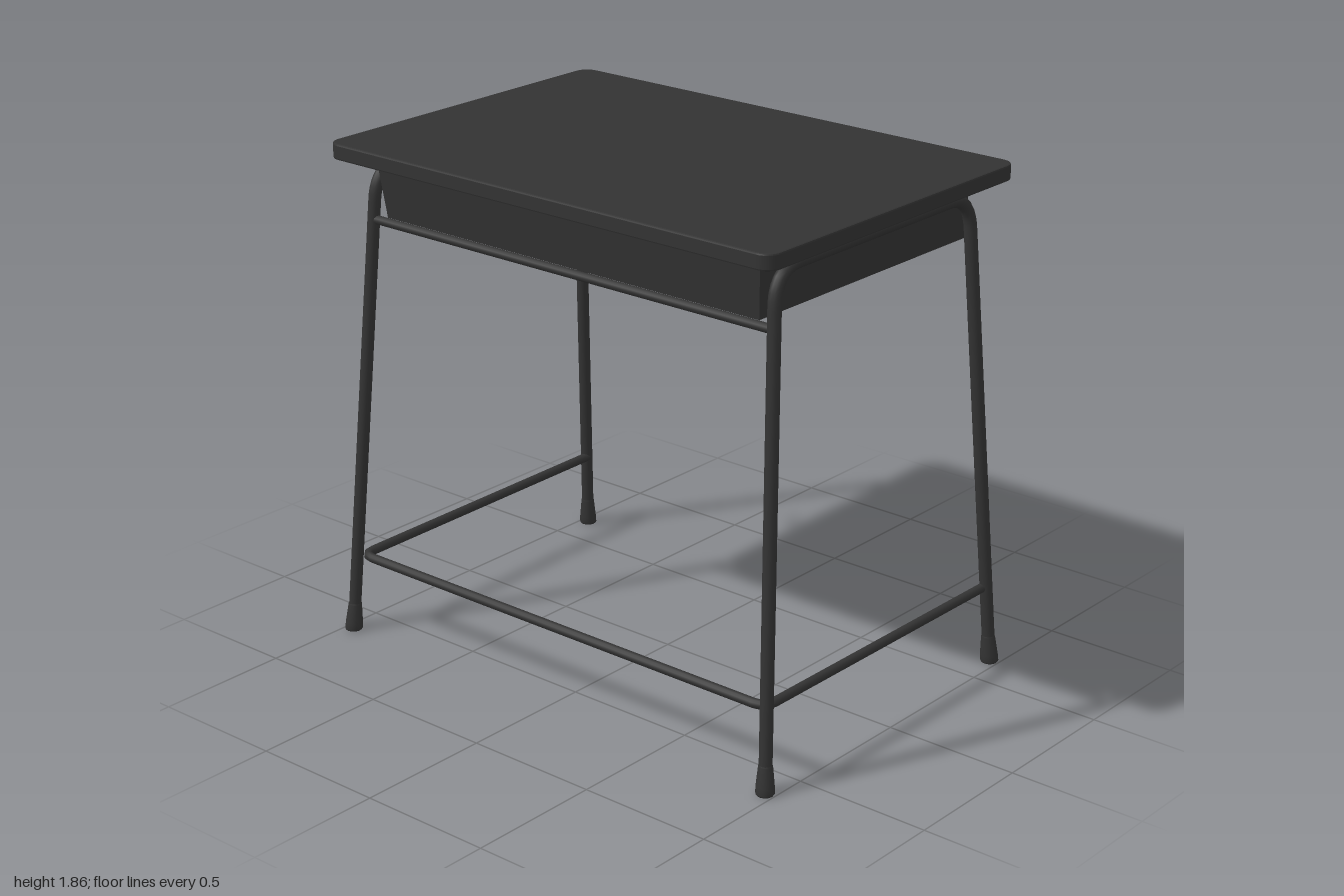
import * as THREE from 'three';

const dark = new THREE.MeshStandardMaterial({ color: 0x333333 });
const sheet = new THREE.MeshStandardMaterial({ color: 0x333333, side: THREE.DoubleSide });
const V = (x, y, z) => new THREE.Vector3(x, y, z);

function add(parent, name, geometry, material = dark) {
  const mesh = new THREE.Mesh(geometry, material);
  mesh.name = name;
  parent.add(mesh);
  return mesh;
}

// Tube along a polyline whose inner corners are rounded by a bend of given length
function bentTube(points, bend, radius, segments, sides = 12) {
  const path = new THREE.CurvePath();
  let from = points[0];
  for (let i = 1; i < points.length - 1; i++) {
    const p = points[i];
    const a = p.clone().add(points[i - 1].clone().sub(p).setLength(bend));
    const b = p.clone().add(points[i + 1].clone().sub(p).setLength(bend));
    path.add(new THREE.LineCurve3(from, a));
    path.add(new THREE.QuadraticBezierCurve3(a, p, b));
    from = b;
  }
  path.add(new THREE.LineCurve3(from, points[points.length - 1]));
  return new THREE.TubeGeometry(path, segments, radius, sides);
}

// Thin flat sheet through a convex loop of corners
function panel(corners) {
  const pos = [];
  for (let i = 1; i < corners.length - 1; i++) {
    for (const c of [corners[0], corners[i], corners[i + 1]]) pos.push(c.x, c.y, c.z);
  }
  const g = new THREE.BufferGeometry();
  g.setAttribute('position', new THREE.Float32BufferAttribute(pos, 3));
  g.computeVertexNormals();
  return g;
}

// Rounded-corner board with a fine edge bevel
function tabletopGeometry() {
  const e = 0.006, w = 0.975 - e, d = 0.668 - e, r = 0.05;
  const s = new THREE.Shape();
  s.absarc(w - r, d - r, r, 0, Math.PI / 2);
  s.absarc(-w + r, d - r, r, Math.PI / 2, Math.PI);
  s.absarc(-w + r, -d + r, r, Math.PI, Math.PI * 1.5);
  s.absarc(w - r, -d + r, r, Math.PI * 1.5, Math.PI * 2);
  const g = new THREE.ExtrudeGeometry(s, {
    depth: 0.057 - 2 * e, bevelThickness: e, bevelSize: e, bevelSegments: 2, curveSegments: 8,
  });
  return g.rotateX(-Math.PI / 2).translate(0, 1.799 + e, 0);
}

// Sheet-metal tray, open at the back, tapering towards its floor
function buildTray() {
  const tray = new THREE.Group();
  tray.name = 'tray';
  const xAt = (y) => 0.826 + (y - 1.577) * 0.0963;
  const profile = [[0.555, 1.795], [-0.535, 1.787], [-0.58, 1.737], [-0.585, 1.577], [0.53, 1.58]];
  for (const s of [-1, 1]) {
    const side = profile.map(([z, y]) => V(s * xAt(y), y, z));
    add(tray, 'traySide', panel(side), sheet);
    // Folded flange along the rear edges of the side
    for (const i of [1, 2]) {
      const inner = [side[i + 1], side[i]].map((p) => V(p.x - s * 0.04, p.y, p.z));
      add(tray, 'traySideFlange', panel([side[i], side[i + 1], ...inner]), sheet);
    }
  }
  const row = ([z, y]) => [V(-xAt(y), y, z), V(xAt(y), y, z)];
  const strip = (a, b) => panel([...row(a), ...row(b).reverse()]);
  add(tray, 'trayFront', strip(profile[0], profile[4]), sheet);
  add(tray, 'trayFloor', strip(profile[3], profile[4]), sheet);
  return tray;
}

export function createModel() {
  const desk = new THREE.Group();
  desk.name = 'desk';
  add(desk, 'tabletop', tabletopGeometry());
  desk.add(buildTray());

  // Arched leg pairs with flared feet
  for (const s of [-1, 1]) {
    const foot = (z) => V(s * 0.966, 0, z * 0.645);
    const top = (z) => V(s * 0.882, 1.757, z * 0.523);
    const inset = (z) => foot(z).lerp(top(z), 0.03);
    add(desk, 'legArch', bentTube([inset(1), top(1), top(-1), inset(-1)], 0.12, 0.023, 180));
    for (const z of [-1, 1]) {
      const profile = [[0, 0], [0.029, 0], [0.033, 0.006], [0.032, 0.03], [0.025, 0.1], [0.022, 0.108]];
      const cap = new THREE.LatheGeometry(profile.map(([r, y]) => new THREE.Vector2(r, y)), 12);
      // Shear so that the foot follows the leg while its base stays level
      const lean = top(z).sub(foot(z)).divideScalar(1.757);
      const shear = new THREE.Matrix4().set(1, lean.x, 0, 0, 0, 1, 0, 0, 0, lean.z, 1, 0, 0, 0, 0, 1);
      add(desk, 'foot', cap.applyMatrix4(shear)).position.copy(foot(z));
    }
  }

  // Low U-shaped stretcher, open at the back
  add(desk, 'stretcher', bentTube([
    V(-0.945, 0.295, -0.622), V(-0.935, 0.295, 0.612), V(0.935, 0.295, 0.612), V(0.945, 0.295, -0.622),
  ], 0.05, 0.017, 160));

  // Bar under the front of the tray
  add(desk, 'frontBar', bentTube([V(-0.89, 1.565, 0.537), V(0.89, 1.565, 0.537)], 0, 0.016, 1));

  // Bag hook: one wire doubled back at its raised tip
  const half = [[-0.858, 1.8], [-0.853, 1.7], [-0.853, 1.6], [-0.87, 1.562], [-0.9, 1.553], [-0.935, 1.567]];
  const wire = [
    ...half.map(([x, y]) => V(x, y, 0.026)),
    V(-0.958, 1.598, 0.014), V(-0.961, 1.605, 0), V(-0.958, 1.598, -0.014),
    ...half.map(([x, y]) => V(x, y, -0.026)).reverse(),
  ];
  add(desk, 'bagHook', new THREE.TubeGeometry(new THREE.CatmullRomCurve3(wire), 80, 0.004, 8));
  return desk;
}
